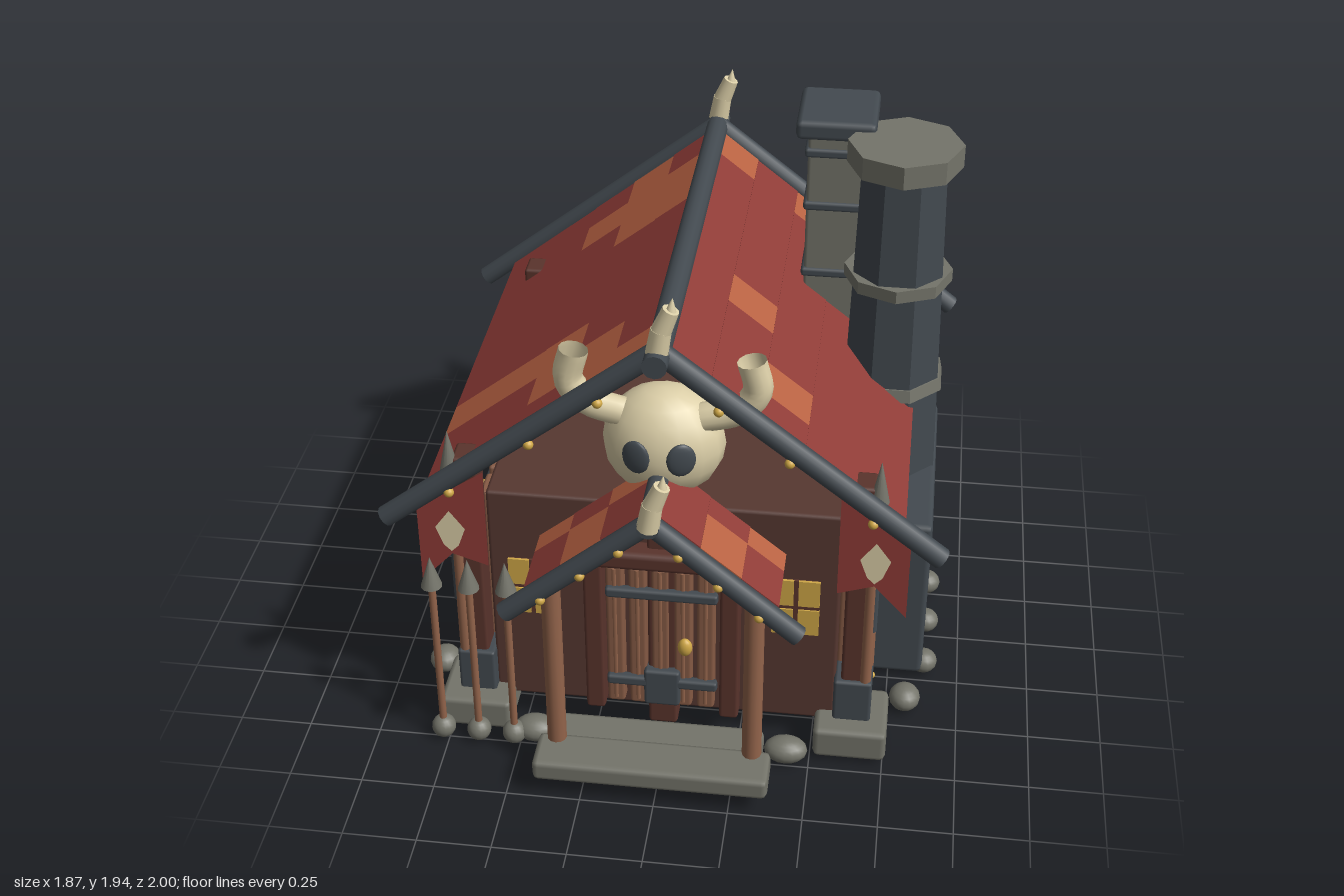
import * as THREE from 'three';
import { RoundedBoxGeometry } from 'three/addons/geometries/RoundedBoxGeometry.js';

const mat = (name, color, side = THREE.FrontSide) => {
  const m = new THREE.MeshStandardMaterial({ color, side });
  m.name = name;
  return m;
};

export function createModel() {
  const M = {
    roof: mat('roof red', 0x8f3c37, THREE.DoubleSide),
    patch: mat('patch orange', 0xb86242),
    wall: mat('wall brown', 0x573831),
    beam: mat('beam brown', 0x5a342c),
    board: mat('board brown', 0x875b45),
    pole: mat('pole brown', 0x93644b),
    iron: mat('iron', 0x434a50),
    stone: mat('stone', 0x74746a),
    bone: mat('bone', 0xdccfa8, THREE.DoubleSide),
    gold: mat('gold', 0xd0a847),
  };
  const model = new THREE.Group();
  model.name = 'lodge';
  const house = new THREE.Group();
  house.name = 'house';
  house.position.x = -0.015;
  model.add(house);

  const V = (x, y, z) => new THREE.Vector3(x, y, z);
  const flat = (g) => {
    const f = g.toNonIndexed();
    f.computeVertexNormals();
    return f;
  };
  const add = (name, geo, m, x = 0, y = 0, z = 0) => {
    const mesh = new THREE.Mesh(geo, m);
    mesh.name = name;
    mesh.position.set(x, y, z);
    house.add(mesh);
    return mesh;
  };
  // box given by its limits on each axis, with softened edges
  const box = (name, m, x0, x1, y0, y1, z0, z1, r = 0.012) => {
    const w = x1 - x0, h = y1 - y0, d = z1 - z0;
    const rad = Math.min(r, w / 3, h / 3, d / 3);
    const g = rad < 0.004 ? new THREE.BoxGeometry(w, h, d) : new RoundedBoxGeometry(w, h, d, 1, rad);
    return add(name, g, m, (x0 + x1) / 2, (y0 + y1) / 2, (z0 + z1) / 2);
  };
  // round bar between two points
  const bar = (name, m, a, b, r0, r1 = r0, sides = 12) => {
    const d = b.clone().sub(a);
    const c = a.clone().add(b).multiplyScalar(0.5);
    const mesh = add(name, new THREE.CylinderGeometry(r1, r0, d.length(), sides), m, c.x, c.y, c.z);
    mesh.quaternion.setFromUnitVectors(V(0, 1, 0), d.normalize());
    return mesh;
  };
  const ball = (name, m, x, y, z, rx, ry = rx, rz = rx) => {
    const b = add(name, new THREE.SphereGeometry(1, 16, 10), m, x, y, z);
    b.scale.set(rx, ry, rz);
    return b;
  };
  const rivet = (x, y, z, r = 0.017) => ball('rivet', M.gold, x, y, z, r);
  const hornTip = (x, y, z) => {
    bar('ridgeHorn', M.bone, V(x, y, z), V(x + 0.015, y + 0.09, z), 0.036, 0.033);
    bar('ridgeHorn', M.bone, V(x + 0.013, y + 0.08, z), V(x + 0.045, y + 0.16, z), 0.033, 0.027);
    bar('hornPoint', M.bone, V(x + 0.045, y + 0.155, z), V(x + 0.05, y + 0.2, z), 0.017, 0.001);
  };
  // tiled gable: rows run down the slope, patches lists tile numbers per side and row
  const gable = (name, top, slope, rows, z0, z1, n, patches) => {
    const step = (z1 - z0) / n;
    for (const s of [-1, 1]) for (let r = 0; r < rows.length - 1; r++) for (let i = 0; i < n; i++) {
      const dx = rows[r + 1] - rows[r], xm = (rows[r + 1] + rows[r]) / 2;
      const m = patches[s < 0 ? 0 : 1][r].includes(i) ? M.patch : M.roof;
      const tile = add(name, new THREE.BoxGeometry(dx * Math.hypot(1, slope), 0.028, step),
        m, s * xm, top - slope * xm - r * 0.003, z0 + (i + 0.5) * step);
      tile.rotation.z = -s * Math.atan(slope);
    }
  };

  // walls
  box('walls', M.wall, -0.59, 0.59, 0.1, 0.965, -0.68, 0.6);

  // main roof
  gable('roofTile', 1.59, 0.79, [0, 0.15, 0.3, 0.45, 0.78], -0.9, 0.66, 9, [
    [[1, 2, 8], [0, 1, 2, 7, 8], [1, 6, 7], [6]],
    [[0], [5], [0, 7], []],
  ]);
  bar('ridgeBeam', M.iron, V(0, 1.595, -1), V(0, 1.595, 0.765), 0.04);
  for (const z of [-0.925, 0.675]) for (const s of [-1, 1]) {
    bar('rafter', M.iron, V(0, 1.6, z), V(s * 0.91, 0.89, z), 0.036);
    for (const x of [0.19, 0.415, 0.685]) rivet(s * x, 1.555 - 0.78 * x, z + Math.sign(z) * 0.02);
  }
  hornTip(0, 1.61, 0.71);
  hornTip(0, 1.61, -0.955);

  // porch roof
  gable('porchTile', 1.14, 0.82, [0, 0.15, 0.28, 0.4], 0.62, 0.89, 3, [
    [[0], [1, 2], [0]], [[], [1, 2], [0]],
  ]);
  bar('porchRidge', M.iron, V(0, 1.12, 0.6), V(0, 1.12, 0.945), 0.036);
  for (const s of [-1, 1]) {
    bar('porchRafter', M.iron, V(0, 1.12, 0.91), V(s * 0.475, 0.72, 0.91), 0.034);
    for (const x of [0.095, 0.22, 0.35]) rivet(s * x, 1.095 - 0.842 * x, 0.933);
    bar('porchPost', M.pole, V(s * 0.33, 0.12, 0.86), V(s * 0.33, 0.85, 0.86), 0.033);
  }
  hornTip(0, 1.12, 0.935);

  // steps
  box('frontStep', M.stone, -0.395, 0.395, 0.075, 0.155, 0.84, 1, 0.02);
  box('backStep', M.stone, -0.36, 0.36, 0.04, 0.125, 0.7, 0.85, 0.02);
  for (let i = -3; i <= 3; i++) ball('stepPebble', M.stone, i * 0.1, 0.055, 0.82, 0.06, 0.03, 0.05);

  // corner posts with feet, side braces and boards
  for (const s of [-1, 1]) {
    for (const z of [0.575, -0.67]) {
      const f = Math.sign(z), x = s * 0.65;
      box('footing', M.stone, x - 0.125, x + 0.125, 0.02, 0.14, z - 0.11, z + 0.135, 0.02);
      // flanking boulders
      ball('boulder', M.stone, s * 0.435, 0.05, z + f * 0.14, 0.075, 0.045, 0.055);
      ball('boulder', M.stone, s * 0.83, 0.05, z - f * 0.18, 0.055, 0.045, 0.06);
      box('cornerPost', M.beam, x - 0.042, x + 0.042, 0.13, 1.105, z - 0.05, z + 0.05);
      box('postBoot', M.iron, x - 0.065, x + 0.065, 0.13, 0.305, z - 0.065, z + 0.065);
      bar('postPole', M.pole, V(x + s * 0.04, 0.14, z + f * 0.04), V(x + s * 0.04, 1, z + f * 0.04), 0.02);
      bar('postPole', M.pole, V(x + s * 0.045, 0.14, z - f * 0.05), V(x + s * 0.045, 0.98, z - f * 0.05), 0.02);
      rivet(x + s * 0.06, 0.25, z - f * 0.05, 0.012);
    }
    for (let i = 0; i < 8; i++) {
      const z = -0.6 + i * 0.145;
      box('sideBoard', M.board, s * 0.607 - 0.02, s * 0.607 + 0.02, 0.1, 0.91, z, z + 0.115);
    }
    box('sideBand', M.iron, s * 0.655 - 0.025, s * 0.655 + 0.025, 0.7, 0.755, -0.63, 0.53);
    for (let i = 0; i < 6; i++) rivet(s * 0.678, 0.75, 0.46 - i * 0.2, 0.013);
    bar('sideBrace', M.pole, V(s * 0.65, 0.22, 0.53), V(s * 0.65, 0.95, -0.62), 0.033);
  }

  // middle posts, front and back
  for (const z of [0.592, -0.7]) {
    box('middlePost', M.beam, -0.05, 0.05, 0.05, 1.01, z - 0.045, z + 0.045);
    box('middleBoot', M.iron, -0.062, 0.062, 0.155, 0.305, z - 0.065, z + 0.075);
  }

  // door
  for (let i = 0; i < 5; i++) {
    const x = -0.19 + i * 0.077;
    box('doorBoard', M.board, x, x + 0.06, 0.14, 0.73, 0.59, 0.645);
    bar('doorBatten', M.pole, V(x + 0.03, 0.16, 0.642), V(x + 0.03, 0.72, 0.642), 0.008, 0.008, 6);
  }
  for (const s of [-1, 1]) box('doorJamb', M.beam, s * 0.23 - 0.033, s * 0.23 + 0.033, 0.12, 0.75, 0.59, 0.665);
  box('doorLintel', M.beam, -0.27, 0.27, 0.74, 0.81, 0.59, 0.68, 0.02);
  for (const y of [0.25, 0.63]) box('doorBand', M.iron, -0.19, 0.19, y - 0.02, y + 0.02, 0.63, 0.665);
  ball('doorKnob', M.gold, 0.08, 0.42, 0.66, 0.025, 0.035, 0.02);

  // windows: four panes over a dark backing
  const windowAt = (cx, cy, z, w, h) => {
    box('windowBacking', M.beam, cx - w / 2, cx + w / 2, cy - h / 2, cy + h / 2, z - 0.02, z + 0.004, 0);
    for (const i of [-1, 1]) for (const j of [-1, 1]) {
      const px = cx + i * (w / 4 + 0.005), py = cy + j * (h / 4 + 0.005);
      box('windowPane', M.gold, px - w / 4 + 0.003, px + w / 4 - 0.003, py - h / 4 + 0.003, py + h / 4 - 0.003, z, z + 0.009, 0);
    }
  };
  for (const s of [-1, 1]) windowAt(s * 0.445, 0.59, 0.605, 0.155, 0.22);

  // skull with open-ended horns
  ball('skull', M.bone, 0, 1.195, 0.55, 0.2, 0.195, 0.16);
  for (const s of [-1, 1]) {
    const eye = ball('skullEye', M.iron, s * 0.072, 1.21, 0.69, 0.048, 0.06, 0.016);
    eye.rotation.y = s * 0.3;
    const path = [[0.13, 1.31], [0.24, 1.345], [0.3, 1.42], [0.28, 1.53]].map(([x, y]) => V(s * x, y, 0.585));
    add('skullHorn', new THREE.TubeGeometry(new THREE.CatmullRomCurve3(path), 14, 0.048, 12), M.bone);
  }

  // banners on short spears
  const shapeOf = (pts) => new THREE.ShapeGeometry(new THREE.Shape(pts.map(([x, y]) => new THREE.Vector2(x, y))));
  for (const s of [-1, 1]) {
    const cloth = [[0.58, 1.08], [0.81, 0.92], [0.81, 0.62], [0.7, 0.74], [0.58, 0.7]].map(([x, y]) => [x * s, y]);
    const mark = [[0.7, 0.92], [0.75, 0.85], [0.725, 0.78], [0.7, 0.755], [0.675, 0.78], [0.65, 0.85]].map(([x, y]) => [x * s, y]);
    add('banner', shapeOf(cloth), M.roof, 0, 0, 0.655);
    add('bannerMark', shapeOf(mark), M.bone, 0, 0, 0.662);
    bar('bannerSpear', M.iron, V(s * 0.7, 0.52, 0.61), V(s * 0.7, 1.06, 0.61), 0.018);
    bar('bannerSpearhead', M.stone, V(s * 0.7, 1.05, 0.61), V(s * 0.7, 1.2, 0.61), 0.032, 0.001);
  }

  // standing spears on small stones
  for (const x of [-0.755, -0.63, -0.505]) {
    ball('spearStone', M.stone, x, 0.05, 0.745, 0.042);
    bar('spearShaft', M.pole, V(x, 0.08, 0.745), V(x, 0.68, 0.745), 0.013);
    bar('spearhead', M.stone, V(x, 0.67, 0.745), V(x, 0.785, 0.745), 0.036, 0.001);
  }

  // forge with octagonal flue and pebbles along its foot
  box('forge', M.iron, 0.56, 0.885, 0.035, 0.69, -0.545, 0.25, 0.02);
  windowAt(0.65, 0.37, 0.26, 0.11, 0.22);
  const flue = (name, m, y0, y1, r0, r1, turn) => {
    add(name, flat(new THREE.CylinderGeometry(r1, r0, y1 - y0, 8)), m, 0.705, (y0 + y1) / 2, -0.205).rotation.y = turn;
  };
  flue('flueShaft', M.iron, 0.68, 1.86, 0.185, 0.152, Math.PI / 8);
  flue('flueBand', M.stone, 1.01, 1.055, 0.19, 0.18, Math.PI / 8);
  flue('flueBand', M.stone, 1.41, 1.455, 0.185, 0.185, 0);
  flue('flueCap', M.stone, 1.84, 1.92, 0.193, 0.193, 0);
  for (const z of [-0.27, -0.04, 0.19]) ball('forgeStone', M.stone, 0.89, 0.05, z, 0.05, 0.042, 0.05);

  // square stone chimney
  box('chimney', M.stone, 0.375, 0.575, 1.03, 1.89, -0.52, -0.31);
  for (const y of [1.15, 1.35, 1.61, 1.81]) box('chimneyBand', M.iron, 0.365, 0.585, y - 0.017, y + 0.017, -0.53, -0.3);
  box('chimneyCap', M.iron, 0.335, 0.605, 1.875, 1.945, -0.56, -0.26, 0.02);
  return model;
}
